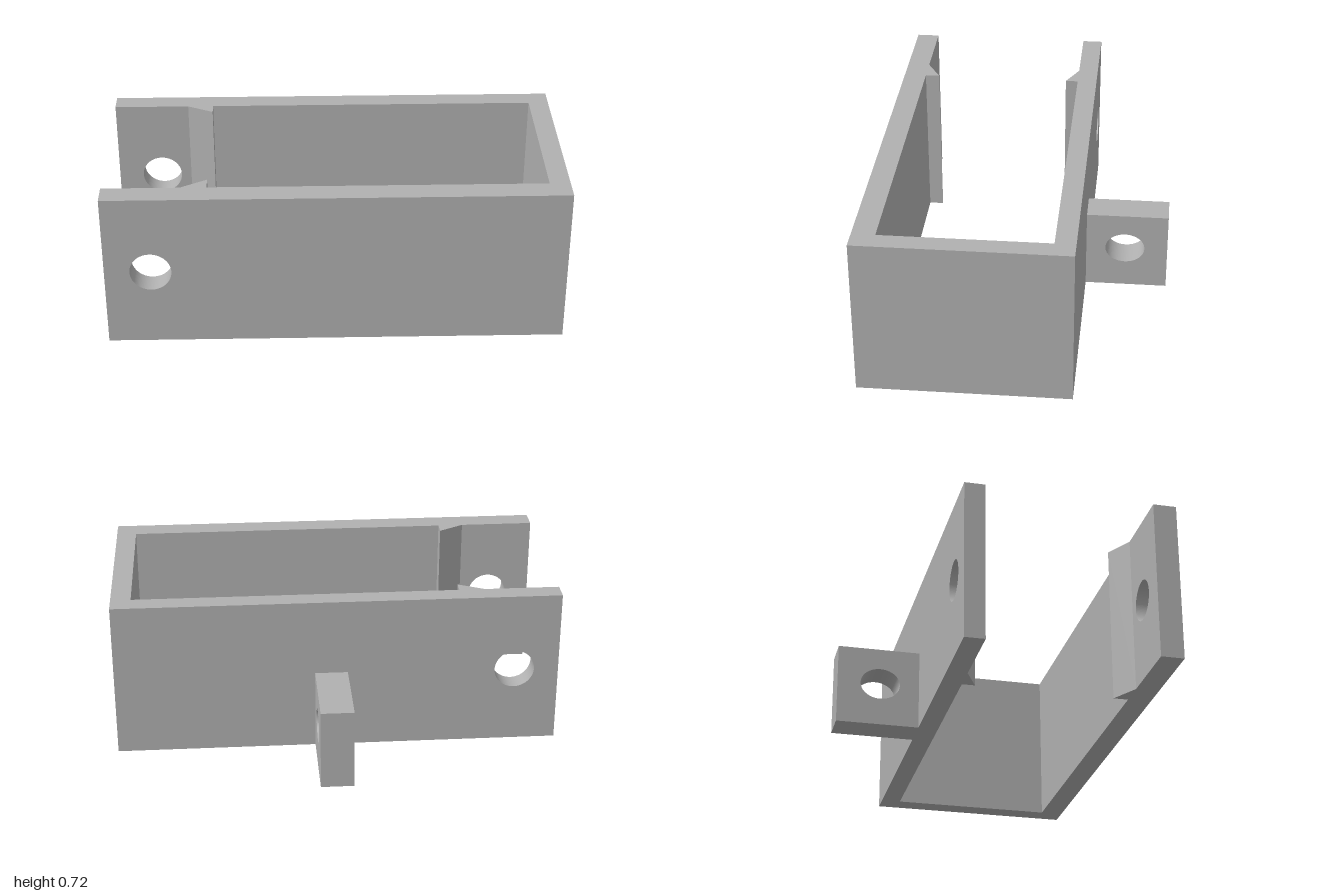
import * as THREE from 'three';

const HEIGHT = 0.717;
const BACK_OUT = -0.277, BACK_IN = -0.187;
const FRONT_IN = 0.548, FRONT_OUT = 0.65;
const END_IN = 0.91;

// Rectangular plate with one elliptical hole, extruded along its thickness
function plate(x0, x1, height, depth, hole) {
  const shape = new THREE.Shape([
    new THREE.Vector2(x0, 0), new THREE.Vector2(x1, 0),
    new THREE.Vector2(x1, height), new THREE.Vector2(x0, height),
  ]);
  const path = new THREE.Path();
  path.absellipse(hole.x, hole.y, hole.rx, hole.ry, 0, Math.PI * 2, true);
  shape.holes.push(path);
  return new THREE.ExtrudeGeometry(shape, { depth, bevelEnabled: false, curveSegments: 48 });
}

export function createModel() {
  const group = new THREE.Group();
  const grey = new THREE.MeshStandardMaterial({ color: 0xb0b0b0 });
  grey.name = 'grey';

  const add = (name, geometry) => {
    const mesh = new THREE.Mesh(geometry, grey);
    mesh.name = name;
    group.add(mesh);
  };

  // Long side walls with pin holes
  const pin = { x: -0.8, y: 0.357, rx: 0.09, ry: 0.09 };
  add('frontWall', plate(-1, 1, HEIGHT, FRONT_OUT - FRONT_IN, pin).translate(0, 0, FRONT_IN));
  add('backWall', plate(-1, 1, HEIGHT, BACK_IN - BACK_OUT, pin).translate(0, 0, BACK_OUT));

  // Closed end between the side walls
  add('endWall', new THREE.BoxGeometry(1 - END_IN, HEIGHT, FRONT_IN - BACK_IN)
    .translate((1 + END_IN) / 2, HEIGHT / 2, (FRONT_IN + BACK_IN) / 2));

  // Full-height wedge catches on the inner faces
  for (const [name, z, tip] of [['frontCatch', FRONT_IN, 0.483], ['backCatch', BACK_IN, -0.13]]) {
    const wedge = new THREE.Shape([
      new THREE.Vector2(-0.665, z), new THREE.Vector2(-0.55, z), new THREE.Vector2(-0.55, tip),
    ]);
    add(name, new THREE.ExtrudeGeometry(wedge, { depth: HEIGHT, bevelEnabled: false })
      .rotateX(Math.PI / 2).translate(0, HEIGHT, 0));
  }

  // Rear mounting lug with an oval hole
  const oval = { x: 0.455, y: 0.198, rx: 0.09, ry: 0.073 };
  add('mountingLug', plate(-BACK_OUT, 0.65, 0.368, 0.147, oval)
    .rotateY(Math.PI / 2).translate(-0.045, 0, 0));

  return group;
}
